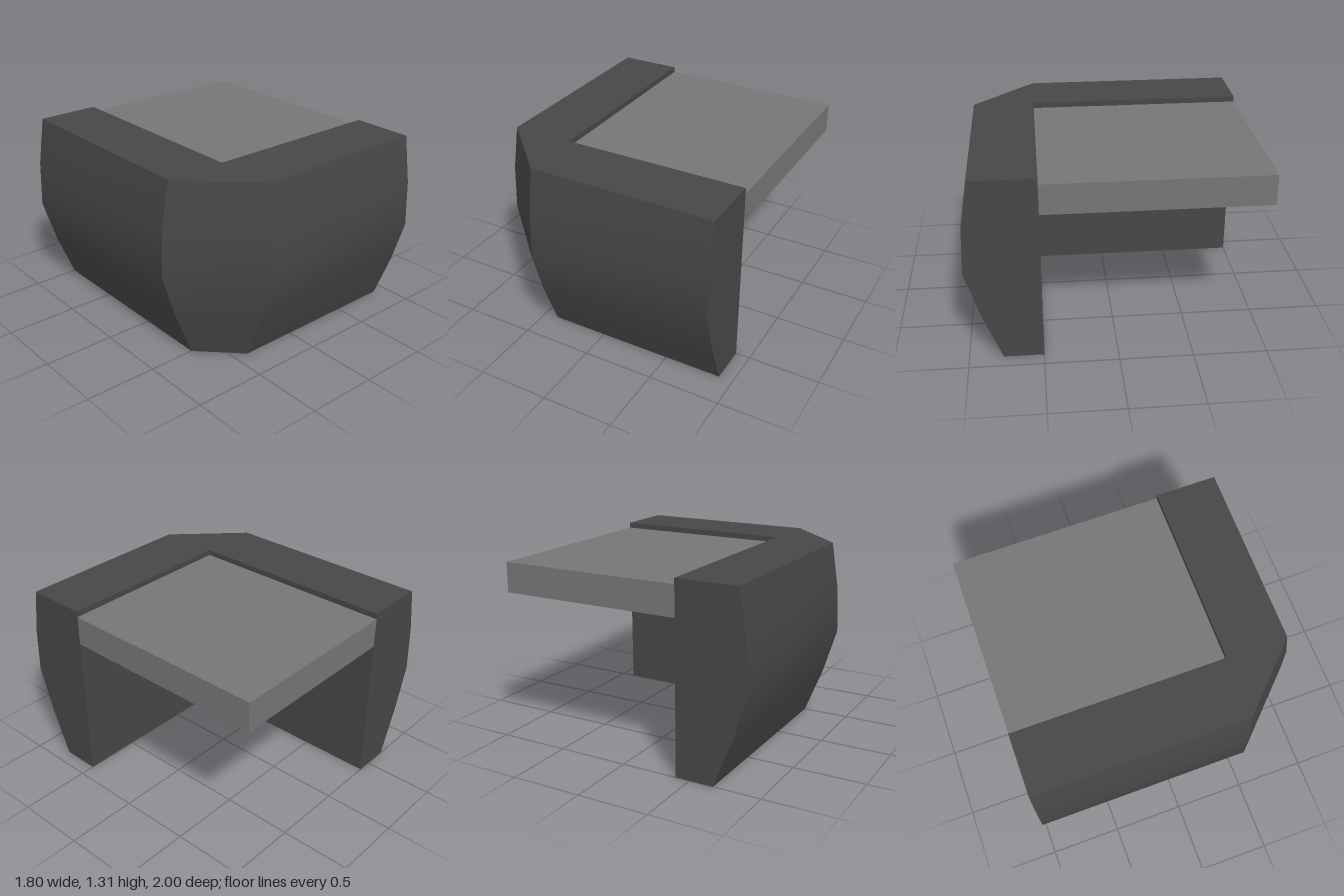
import * as THREE from 'three';

// Wall profile: [height, thickness]
const PROFILE = [[0, 0.27], [0.33, 0.4], [0.655, 0.5], [0.98, 0.487], [1.31, 0.435]];
const X_IN = -0.4, Z_IN = 0.5, X_END = 0.9, Z_END = -1;

// L-shaped plan with a chamfered outer corner, starting at the inner corner
function outline([y, d]) {
  return [
    [X_IN, Z_IN], [X_END, Z_IN], [X_END, Z_IN + d], [X_IN, Z_IN + d],
    [X_IN - d, Z_IN], [X_IN - d, Z_END], [X_IN, Z_END],
  ].map(([x, z]) => [x, y, z]);
}

function geometry(points, index) {
  const g = new THREE.BufferGeometry();
  g.setAttribute('position', new THREE.Float32BufferAttribute(points.flat(), 3));
  g.setIndex(index);
  g.computeVertexNormals();
  return g;
}

export function createModel() {
  const model = new THREE.Group();
  const darkGrey = new THREE.MeshStandardMaterial({ color: 0x474747 });
  darkGrey.name = 'darkGrey';
  const midGrey = new THREE.MeshStandardMaterial({ color: 0x767676 });
  midGrey.name = 'midGrey';

  const add = (parent, name, geo, material) => {
    const mesh = new THREE.Mesh(geo, material);
    mesh.name = name;
    parent.add(mesh);
    return mesh;
  };

  // Corner wall: each side is smooth over its height, with sharp vertical edges
  const wall = new THREE.Group();
  wall.name = 'cornerWall';
  model.add(wall);
  const levels = PROFILE.map(outline);
  const names = ['innerFrontFace', 'rightEnd', 'frontFace', 'chamferFace', 'sideFace', 'backEnd', 'innerSideFace'];
  names.forEach((name, i) => {
    const j = (i + 1) % names.length;
    const points = levels.flatMap((loop) => [loop[i], loop[j]]);
    const index = [];
    for (let r = 0; r < levels.length - 1; r++) {
      const a = r * 2;
      index.push(a + 1, a, a + 2, a + 1, a + 2, a + 3);
    }
    add(wall, name, geometry(points, index), darkGrey);
  });

  // Flat top and underside, fanned from the inner corner
  const top = [], bottom = [];
  for (let i = 1; i < names.length - 1; i++) {
    top.push(0, i + 1, i);
    bottom.push(0, i, i + 1);
  }
  add(wall, 'wallTop', geometry(levels[levels.length - 1], top), darkGrey);
  add(wall, 'wallUnderside', geometry(levels[0], bottom), darkGrey);

  // Floor slab set just below the wall top
  const slab = add(model, 'floorSlab',
    new THREE.BoxGeometry(X_END - X_IN, 0.21, Z_IN - Z_END), midGrey);
  slab.position.set((X_END + X_IN) / 2, 1.165, (Z_IN + Z_END) / 2);

  return model;
}
